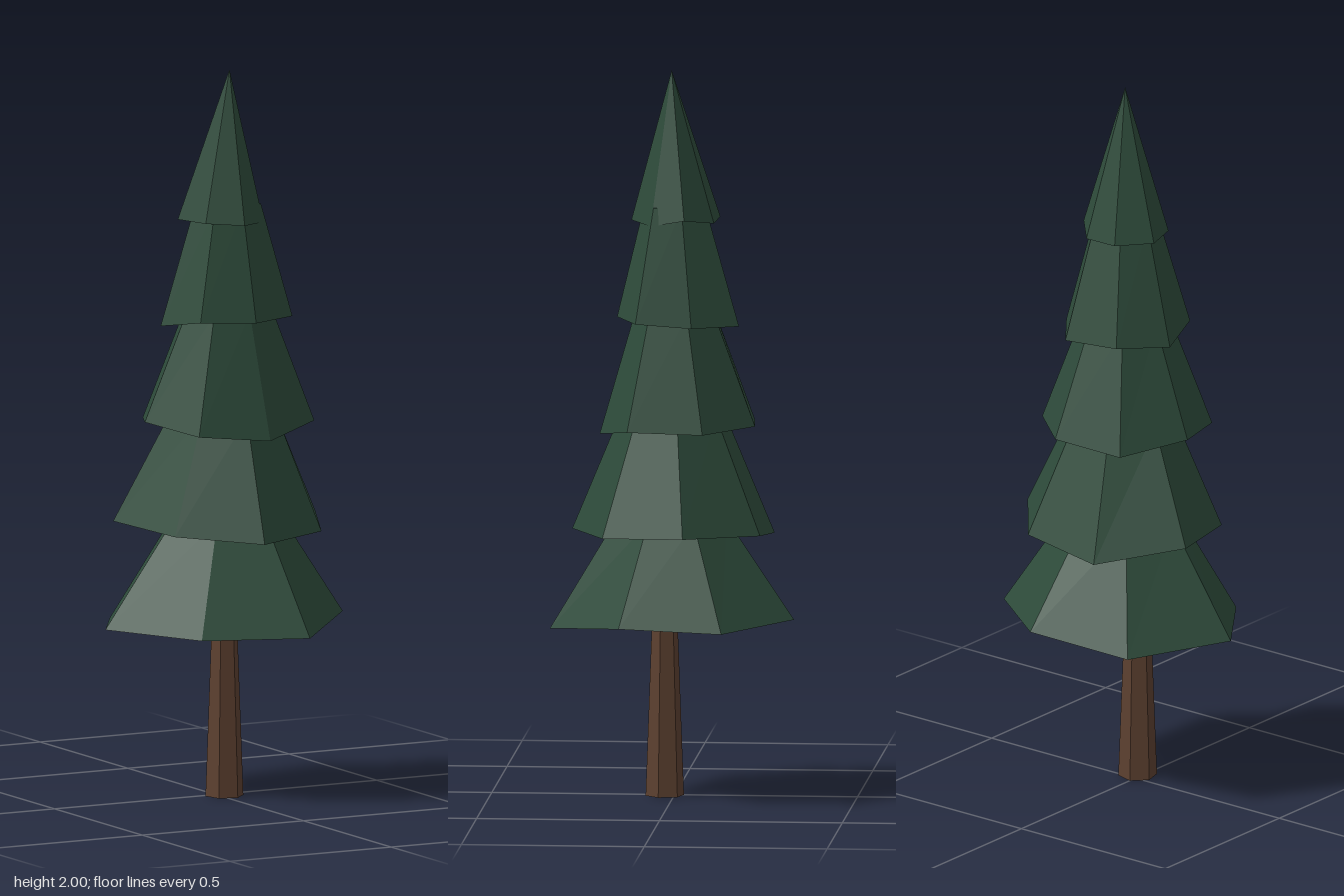
import * as THREE from 'three';

const AXIS = [0.04, 0.005];

// Irregular rims, each corner [x, y, z], running clockwise seen from above.
// top: height of the upper ring; shrink: its size relative to the rim (0 = pointed tip)
const TIERS = [
  { top: 0.77, shrink: 0.45, rim: [[0.10, 0.50, -0.335], [0.335, 0.49, -0.155], [0.325, 0.50, 0.127],
    [0.112, 0.47, 0.332], [-0.168, 0.47, 0.23], [-0.338, 0.48, -0.008], [-0.183, 0.465, -0.266]] },
  { top: 1.06, shrink: 0.5, rim: [[-0.067, 0.715, -0.268], [0.177, 0.74, -0.248], [0.336, 0.75, -0.049],
    [0.231, 0.735, 0.179], [0, 0.73, 0.28], [-0.197, 0.745, 0.13], [-0.26, 0.76, -0.107]] },
  { top: 1.34, shrink: 0.5, rim: [[-0.112, 1.02, -0.21], [0.098, 1.03, -0.228], [0.248, 1.025, -0.096],
    [0.246, 1.03, 0.11], [0.061, 1.0, 0.2], [-0.139, 1.02, 0.161], [-0.204, 1.04, -0.029]] },
  { top: 1.63, shrink: 0.5, rim: [[-0.061, 1.31, -0.161], [0.098, 1.305, -0.184], [0.192, 1.31, -0.061],
    [0.188, 1.32, 0.092], [0.042, 1.32, 0.154], [-0.105, 1.325, 0.107], [-0.15, 1.30, -0.038]] },
  { top: 2.0, shrink: 0, rim: [[-0.025, 1.59, -0.123], [0.08, 1.585, -0.114], [0.15, 1.60, -0.038],
    [0.118, 1.58, 0.056], [0.027, 1.585, 0.116], [-0.065, 1.59, 0.063], [-0.096, 1.59, -0.04]] },
];

// Closed faceted skirt between a jagged rim and a smaller ring (or tip)
function tierGeometry({ top, shrink, rim }) {
  const n = rim.length;
  const upper = rim.map(([x, , z]) => [
    AXIS[0] + (x - AXIS[0]) * shrink, top, AXIS[1] + (z - AXIS[1]) * shrink]);
  const base = [AXIS[0], rim.reduce((s, c) => s + c[1], 0) / n, AXIS[1]];
  const tip = [AXIS[0], top, AXIS[1]];
  const points = [];
  for (let i = 0; i < n; i++) {
    const j = (i + 1) % n;
    points.push(rim[j], rim[i], upper[i]);
    points.push(base, rim[i], rim[j]);
    if (shrink > 0) {
      points.push(rim[j], upper[i], upper[j]);
      points.push(tip, upper[j], upper[i]);
    }
  }
  const geometry = new THREE.BufferGeometry();
  geometry.setAttribute('position', new THREE.Float32BufferAttribute(points.flat(), 3));
  geometry.computeVertexNormals();
  return geometry;
}

export function createModel() {
  const needles = new THREE.MeshStandardMaterial({ color: 0x2d4a3a, flatShading: true });
  needles.name = 'needleGreen';
  const bark = new THREE.MeshStandardMaterial({ color: 0x5c4030, flatShading: true });
  bark.name = 'barkBrown';

  const tree = new THREE.Group();
  tree.name = 'pineTree';

  // Tapered trunk
  const trunk = new THREE.Mesh(new THREE.CylinderGeometry(0.034, 0.053, 0.52, 6), bark);
  trunk.name = 'trunk';
  trunk.position.set(0.013, 0.26, 0.026);
  trunk.rotation.y = Math.PI / 12;
  tree.add(trunk);

  // Stacked foliage
  TIERS.forEach((tier, i) => {
    const mesh = new THREE.Mesh(tierGeometry(tier), needles);
    mesh.name = `foliageTier${i + 1}`;
    tree.add(mesh);
  });
  return tree;
}
